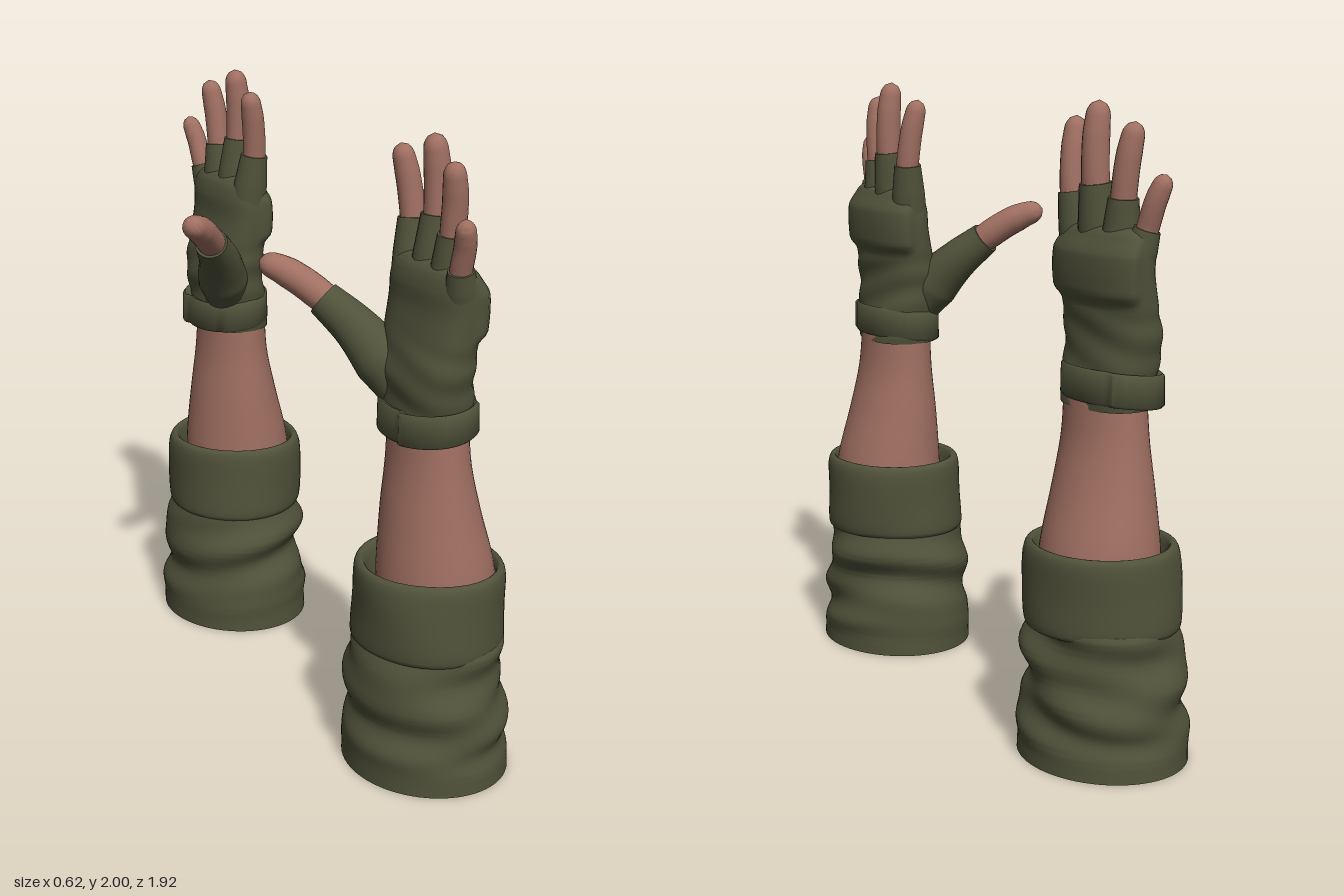
import * as THREE from 'three';
import { toCreasedNormals } from 'three/addons/utils/BufferGeometryUtils.js';

const cloth = new THREE.MeshStandardMaterial({ color: 0x50523a });
cloth.name = 'olive cloth';
const skin = new THREE.MeshStandardMaterial({ color: 0xa17062 });
skin.name = 'skin';
const smooth = THREE.MathUtils.smoothstep;
const V = (x, y, z) => new THREE.Vector3(x, y, z);

// Skin a list of closed rings; side -1 mirrors across z
function loft(rings, side) {
  const n = rings[0].length, pos = [], index = [];
  for (const ring of rings) {
    const r = side < 0 ? [...ring].reverse() : ring;
    for (const p of r) pos.push(p.x, p.y, p.z * side);
  }
  for (let i = 0; i < rings.length - 1; i++) {
    for (let j = 0; j < n; j++) {
      const a = i * n + j, b = i * n + (j + 1) % n;
      index.push(a, b, b + n, a, b + n, a + n);
    }
  }
  const g = new THREE.BufferGeometry();
  g.setAttribute('position', new THREE.Float32BufferAttribute(pos, 3));
  g.setIndex(index);
  return toCreasedNormals(g, 0.9);
}

// Horizontal sections: rows of [y, centre x, centre z, radius x, radius z]
function stack(rows, side, { steps = 1, n = 48, power = 1, tilt = 0, warp = () => 0 } = {}) {
  const mid = new THREE.CatmullRomCurve3(rows.map(r => V(r[1], r[0], r[2])), false, 'catmullrom');
  const rad = new THREE.CatmullRomCurve3(rows.map(r => V(r[3], r[4], 0)), false, 'catmullrom');
  const total = (rows.length - 1) * steps, rings = [];
  for (let i = 0; i <= total; i++) {
    const m = mid.getPoint(i / total), r = rad.getPoint(i / total), ring = [];
    for (let j = 0; j < n; j++) {
      const a = -2 * Math.PI * j / n, c = Math.cos(a), s = Math.sin(a);
      const d = r.x > 0.02 ? warp(c, s, m.y) : 0;
      const x = Math.sign(c) * Math.abs(c) ** power * (r.x + d);
      const z = Math.sign(s) * Math.abs(s) ** power * (r.y + d);
      ring.push(V(m.x + x, m.y + tilt * x, m.z + z));
    }
    rings.push(ring);
  }
  return loft(rings, side);
}

// Round limb along a path with changing radius; tip 'round' or 'flat'
function limb(points, radii, side, tip, n = 20, steps = 28) {
  const path = new THREE.CatmullRomCurve3(points);
  const f = path.computeFrenetFrames(steps, false);
  const length = path.getLength(), end = radii[radii.length - 1];
  const rings = [];
  for (let i = 0; i <= steps; i++) {
    const t = i / steps, c = path.getPointAt(t);
    const k = Math.min(t * (radii.length - 1), radii.length - 1.0001), q = Math.floor(k);
    let r = THREE.MathUtils.lerp(radii[q], radii[q + 1], k - q);
    if (tip === 'round') {
      const u = Math.max(0, 1 - (1 - t) * length / (end * 1.3));
      r *= Math.sqrt(Math.max(0, 1 - u * u));
    }
    const ring = [];
    for (let j = 0; j < n; j++) {
      const a = 2 * Math.PI * j / n;
      ring.push(c.clone().addScaledVector(f.normals[i], r * Math.cos(a))
        .addScaledVector(f.binormals[i], r * Math.sin(a)));
    }
    rings.push(ring);
  }
  if (tip === 'flat') rings.push(rings[0].map(() => path.getPointAt(1)));
  return loft(rings, side);
}

// Cloth folds, fading at hem and under the rolled cuff
const folds = (c, s, y) => smooth(y, 0.03, 0.14) * (1 - smooth(y, 0.42, 0.5)) *
  (0.012 * Math.sin(27 * y + 1.6 * s + 1.1 * (2 * s * c)) + 0.006 * Math.sin(47 * y - 2 * c + s));
const cuffFolds = (c, s, y) => 0.004 * Math.sin(3 * s + 2 * c + 14 * y);
// Raised knuckle pad on the back of the hand, plus light wrinkles
const gloveShape = (c, s, y) =>
  0.022 * smooth(y, 1.41, 1.45) * (1 - smooth(y, 1.56, 1.62)) * smooth(c, 0.1, 0.4) +
  0.003 * Math.sin(60 * y + 4 * s) * (1 - smooth(y, 1.36, 1.44));
// Overlapping end of the wrist strap
const strapTab = (c, s) => (s > 0.72 || (s > 0.3 && c < 0) ? 0.012 : 0);

// [name, base z, cuff x, cuff y, cuff z, tip x, tip y, tip z, radius]
const fingers = [
  ['little', 0.815, 0.035, 1.64, 0.84, 0.01, 1.8, 0.897, 0.034],
  ['ring', 0.735, 0.06, 1.725, 0.755, 0.04, 1.945, 0.785, 0.039],
  ['middle', 0.64, 0.08, 1.76, 0.64, 0.066, 2.0, 0.637, 0.042],
  ['index', 0.535, 0.075, 1.725, 0.513, 0.045, 1.947, 0.488, 0.039],
];

function arm(side) {
  const g = new THREE.Group();
  const add = (name, geometry, material) => {
    const m = new THREE.Mesh(geometry, material);
    m.name = name;
    g.add(m);
  };

  // Hollow sleeve: lining, hem, then the outside
  add('sleeveLining', stack([
    [0.32, 0.05, 0.665, 0.001, 0.001], [0.32, 0.05, 0.665, 0.19, 0.21],
    [0, 0.055, 0.667, 0.218, 0.257], [0, 0.055, 0.667, 0.253, 0.292],
  ], side), cloth);
  add('sleeve', stack([
    [0, 0.055, 0.667, 0.253, 0.292], [0.1, 0.053, 0.667, 0.25, 0.288],
    [0.2, 0.05, 0.666, 0.24, 0.278], [0.27, 0.05, 0.666, 0.23, 0.268],
    [0.34, 0.05, 0.666, 0.238, 0.266], [0.42, 0.052, 0.665, 0.23, 0.25],
    [0.48, 0.055, 0.665, 0.21, 0.235],
  ], side, { steps: 10, n: 64, warp: folds }), cloth);
  add('rolledCuff', stack([
    [0.47, 0.055, 0.665, 0.2, 0.22], [0.425, 0.055, 0.665, 0.218, 0.24],
    [0.435, 0.058, 0.665, 0.234, 0.256], [0.54, 0.06, 0.665, 0.234, 0.257],
    [0.64, 0.062, 0.665, 0.232, 0.252], [0.675, 0.062, 0.665, 0.218, 0.238],
    [0.665, 0.064, 0.667, 0.2, 0.215], [0.58, 0.065, 0.67, 0.18, 0.195],
  ], side, { steps: 4, warp: cuffFolds }), cloth);

  add('forearm', stack([
    [0.55, 0.08, 0.675, 0.185, 0.2], [0.68, 0.075, 0.675, 0.176, 0.196],
    [0.85, 0.06, 0.667, 0.145, 0.178], [1.0, 0.052, 0.662, 0.118, 0.162],
    [1.15, 0.05, 0.657, 0.108, 0.154],
  ], side, { steps: 6 }), skin);

  // Glove body and wrist strap
  add('glovePalm', stack([
    [1.1, 0.045, 0.66, 0.115, 0.16], [1.2, 0.04, 0.665, 0.114, 0.168],
    [1.3, 0.032, 0.67, 0.11, 0.183], [1.4, 0.045, 0.67, 0.1, 0.193],
    [1.5, 0.058, 0.67, 0.09, 0.2], [1.57, 0.058, 0.673, 0.084, 0.2],
    [1.62, 0.06, 0.677, 0.066, 0.188], [1.64, 0.06, 0.68, 0.03, 0.14],
    [1.642, 0.06, 0.68, 0.001, 0.001],
  ], side, { steps: 8, power: 0.85, warp: gloveShape }), cloth);
  add('wristStrap', stack([
    [1.12, 0.045, 0.665, 0.1, 0.14], [1.11, 0.038, 0.667, 0.128, 0.17],
    [1.118, 0.038, 0.667, 0.136, 0.178], [1.205, 0.038, 0.667, 0.134, 0.177],
    [1.213, 0.038, 0.667, 0.126, 0.17], [1.2, 0.04, 0.667, 0.1, 0.15],
  ], side, { n: 72, tilt: 0.11, warp: strapTab }), cloth);

  // Thumb
  add('gloveThumb', limb([V(0.01, 1.2, 0.6), V(-0.045, 1.31, 0.53), V(-0.09, 1.39, 0.46),
    V(-0.158, 1.472, 0.383)], [0.07, 0.088, 0.07, 0.056], side, 'flat'), cloth);
  add('thumb', limb([V(-0.12, 1.435, 0.42), V(-0.2, 1.515, 0.34), V(-0.25, 1.552, 0.293),
    V(-0.305, 1.578, 0.245)], [0.046, 0.049, 0.047, 0.034], side, 'round'), skin);

  // Half-gloved fingers
  for (const [name, bz, cx, cy, cz, tx, ty, tz, r] of fingers) {
    const base = V(0.058, 1.53, bz), cuff = V(cx, cy, cz), tip = V(tx, ty, tz);
    const bend = cuff.clone().lerp(tip, 0.5);
    bend.x += 0.006;
    add(name + 'FingerGlove', limb([base, base.clone().lerp(cuff, 0.5), cuff],
      [r * 1.6, r * 1.45, r * 1.17], side, 'flat'), cloth);
    add(name + 'Finger', limb([base.clone().lerp(cuff, 0.8), cuff, bend, tip],
      [r, r, r * 0.97, r * 0.8], side, 'round'), skin);
  }
  return g;
}

export function createModel() {
  const model = new THREE.Group();
  model.name = 'glovedArms';
  for (const side of [1, -1]) {
    const a = arm(side);
    a.name = side > 0 ? 'frontArm' : 'backArm';
    model.add(a);
  }
  return model;
}
